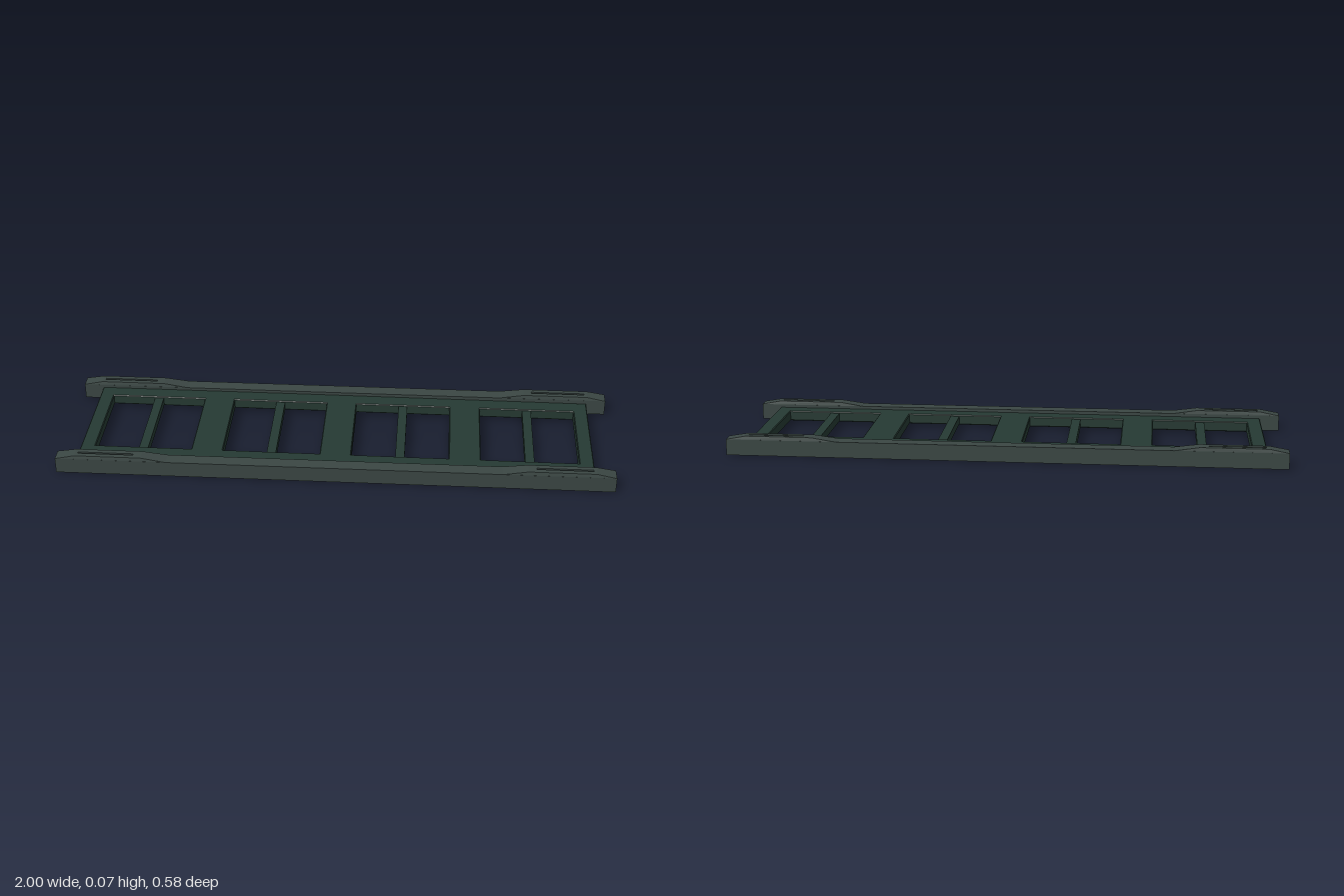
import * as THREE from 'three';

const railMat = new THREE.MeshStandardMaterial({ color: 0x3b4744, flatShading: true });
const deckMat = new THREE.MeshStandardMaterial({ color: 0x263a33, flatShading: true });

const RAIL_H = 0.058, RAIL_W = 0.05, GROOVE = 0.008;

function box(name, mat, w, h, d, x, y, z) {
  const mesh = new THREE.Mesh(new THREE.BoxGeometry(w, h, d), mat);
  mesh.name = name;
  mesh.position.set(x, y, z);
  return mesh;
}

// One slice of the raised rail end, running along +x from z0 to z1
function padSlice(points, z0, z1) {
  const shape = new THREE.Shape(points.map(p => new THREE.Vector2(...p)));
  const geo = new THREE.ExtrudeGeometry(shape, { depth: z1 - z0, bevelEnabled: false });
  geo.translate(0, 0, z0);
  // draw the top edges slightly inward
  const pos = geo.attributes.position;
  for (let i = 0; i < pos.count; i++) {
    const z = pos.getZ(i);
    if (pos.getY(i) > 0.065 && Math.abs(z) > 0.02) pos.setZ(i, z * 0.88);
  }
  geo.computeVertexNormals();
  const mesh = new THREE.Mesh(geo, railMat);
  mesh.name = 'railPadSlice';
  return mesh;
}

// Raised pad with a shallow groove along its middle
function railPad() {
  const pad = new THREE.Group();
  pad.name = 'railPad';
  const y = RAIL_H - 0.004, top = 0.071, g = GROOVE / 2, h = RAIL_W / 2;
  const full = [[0.6, y], [1, y], [1, RAIL_H], [0.93, top], [0.69, top], [0.6, RAIL_H]];
  pad.add(padSlice(full, -h, -g), padSlice(full, g, h));
  // solid ends of the groove
  pad.add(padSlice([[0.6, y], [0.72, y], [0.72, top], [0.69, top], [0.6, RAIL_H]], -g, g));
  pad.add(padSlice([[0.92, y], [1, y], [1, RAIL_H], [0.93, top], [0.92, top]], -g, g));
  return pad;
}

// Side rail, symmetric end to end
function sideRail(name, z) {
  const rail = new THREE.Group();
  rail.name = name;
  rail.add(box('railBeam', railMat, 2, RAIL_H, RAIL_W, 0, RAIL_H / 2, 0));
  const a = railPad(), b = railPad();
  b.rotation.y = Math.PI;
  rail.add(a, b);
  rail.position.z = z;
  rail.rotation.y = 0.005;
  return rail;
}

function rectPath(Type, x0, x1, z) {
  return new Type([[x0, -z], [x1, -z], [x1, z], [x0, z]].map(p => new THREE.Vector2(...p)));
}

export function createModel() {
  const model = new THREE.Group();
  model.name = 'ladderFrame';
  model.add(sideRail('frontRail', 0.258), sideRail('backRail', -0.258));

  // Deck plate with four wide openings
  const centres = [-0.7, -0.233, 0.233, 0.7];
  const halfOpen = 0.176, openZ = 0.174;
  const plate = rectPath(THREE.Shape, -0.928, 0.928, 0.235);
  centres.forEach(c => plate.holes.push(rectPath(THREE.Path, c - halfOpen, c + halfOpen, openZ)));
  const geo = new THREE.ExtrudeGeometry(plate, {
    depth: 0.032, bevelThickness: 0.003, bevelSize: 0.003, bevelOffset: -0.003, bevelSegments: 1,
  });
  geo.rotateX(-Math.PI / 2);
  const deck = new THREE.Mesh(geo, deckMat);
  deck.name = 'deckPlate';
  deck.position.y = 0.012;
  model.add(deck);

  // Thin bar dividing each opening
  centres.forEach(c => model.add(box('dividerBar', deckMat, 0.033, 0.03, openZ * 2 + 0.01, c, 0.027, 0)));
  return model;
}
